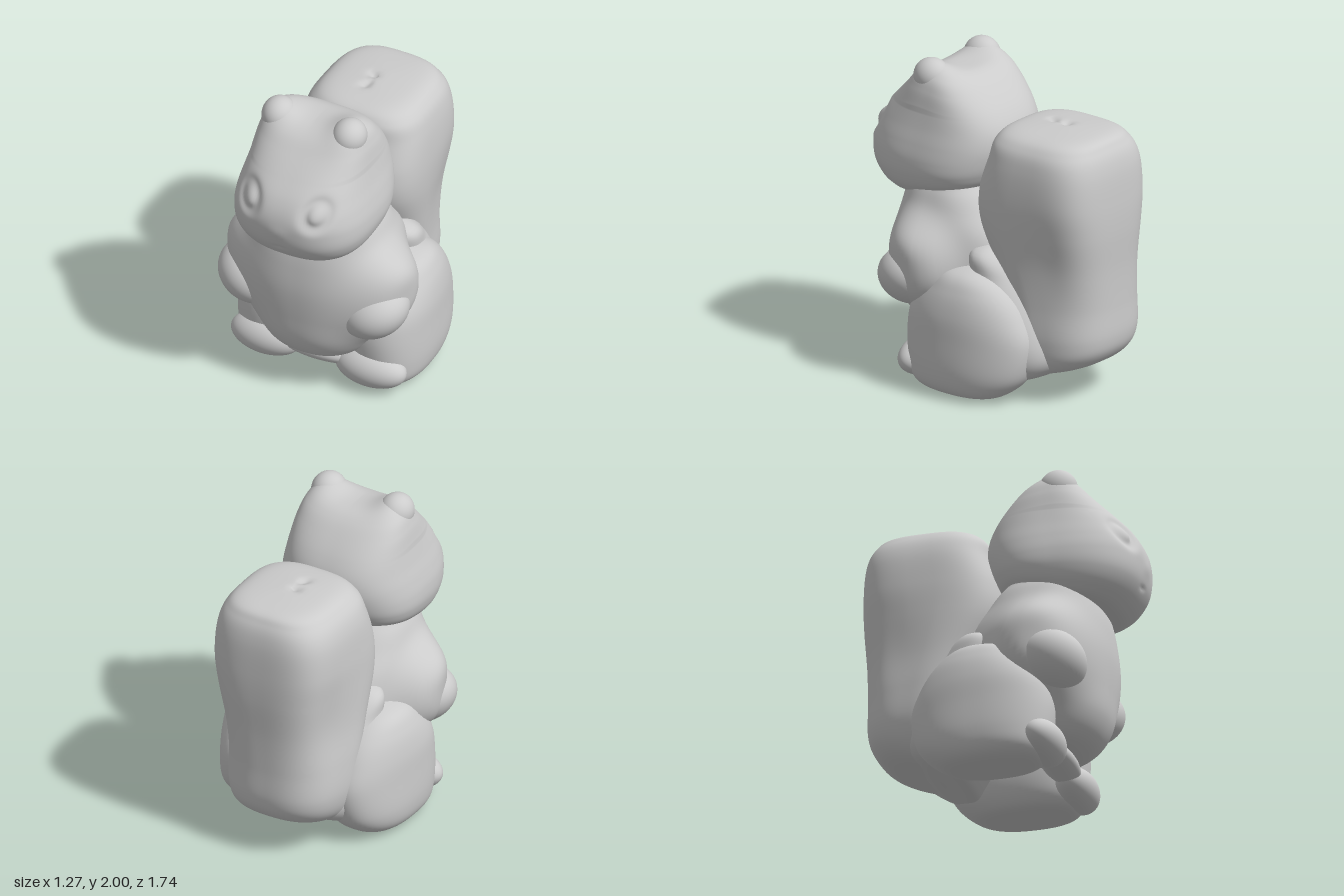
import * as THREE from 'three';

const material = new THREE.MeshStandardMaterial({ color: 0xcccccc, roughness: 0.8 });

// Smooth interpolation of section rows at t in 0..1
function sample(rows, t) {
  const f = t * (rows.length - 1);
  const i = Math.min(Math.floor(f), rows.length - 2);
  const u = f - i;
  const at = (k) => rows[Math.max(0, Math.min(rows.length - 1, k))];
  const [p, q, r, s] = [at(i - 1), at(i), at(i + 1), at(i + 2)];
  return q.map((b, c) => {
    const m0 = (r[c] - p[c]) / 2, m1 = (s[c] - b) / 2, d = r[c] - b;
    return b + u * (m0 + u * (3 * d - 2 * m0 - m1 + u * (m0 + m1 - 2 * d)));
  });
}

// Stack of rounded-square rings, bottom to top.
// Row: [y, zBack, zFront, halfWidth, squareness, frontTaper, tilt, centreX]
function loft(name, rows, { side = 1, rings = 60, segs = 72, rule } = {}) {
  const pos = [], index = [], v = new THREE.Vector3();
  const pow = (c, n) => Math.sign(c) * Math.pow(Math.abs(c), 2 / n);
  for (let i = 0; i <= rings; i++) {
    const [y, zb, zf, hw, n, taper, tilt, cx] = sample(rows, i / rings);
    for (let j = 0; j < segs; j++) {
      const a = (j / segs) * Math.PI * 2;
      const u = pow(Math.cos(a), n), w = pow(Math.sin(a), n);
      const dz = (w * Math.max(0, zf - zb)) / 2;
      v.set(side * cx + u * Math.max(0, hw) * (1 + taper * w), y + tilt * dz, (zb + zf) / 2 + dz);
      if (rule) rule(v);
      pos.push(v.x, v.y, v.z);
      if (i < rings) {
        const k = i * segs + j, next = i * segs + ((j + 1) % segs);
        index.push(k, k + segs, next, next, k + segs, next + segs);
      }
    }
  }
  const g = new THREE.BufferGeometry();
  g.setAttribute('position', new THREE.Float32BufferAttribute(pos, 3));
  g.setIndex(index);
  g.computeVertexNormals();
  const mesh = new THREE.Mesh(g, material);
  mesh.name = name;
  return mesh;
}

// Stretched and turned ball, mirrored by side
function blob(name, side, [x, y, z], radii, [rx, ry, rz] = [0, 0, 0]) {
  const mesh = new THREE.Mesh(new THREE.SphereGeometry(1, 48, 32), material);
  mesh.name = name;
  mesh.position.set(side * x, y, z);
  mesh.rotation.set(rx, side * ry, side * rz);
  mesh.scale.set(...radii);
  return mesh;
}

const bump = (d, w) => Math.exp(-(d * d) / (w * w));

// Ear roots on the crown; eye rings, nose and mouth on the face
function headShape(v) {
  const ax = Math.abs(v.x);
  if (v.y > 1.7) v.y += 0.065 * bump(Math.hypot((ax - 0.24) / 0.12, (v.z - 0.37) / 0.15), 1);
  if (v.z < 0.5) return;
  const eye = Math.hypot((ax - 0.225) / 0.07, (v.y - 1.54) / 0.08);
  v.z -= 0.024 * bump(eye - 0.9, 0.45);
  v.z += 0.008 * bump(Math.hypot(v.x / 0.06, (v.y - 1.39) / 0.05), 1);
  v.z -= 0.01 * bump(Math.hypot(v.x / 0.03, (v.y - 1.27) / 0.014), 1);
}

// Upper arms swell smoothly out of the torso sides
function armSwell(v) {
  const d = Math.hypot((v.z - 0.34) / 0.31, (v.y - 0.75) / 0.29);
  v.x *= 1 + 0.42 * Math.exp(-Math.pow(d, 4));
}

// Shallow hollows in the flanks and two pits on top of the tail
function tailShape(v) {
  v.x *= 1 - 0.06 * bump(Math.hypot((v.z + 0.62) / 0.16, (v.y - 0.9) / 0.3), 1);
  if (v.y > 1.6) {
    for (const z of [-0.35, -0.45]) v.y -= 0.025 * bump(Math.hypot(v.x + 0.03, v.z - z), 0.03);
  }
}

export function createModel() {
  const model = new THREE.Group();
  model.name = 'squirrel';

  model.add(loft('head', [
    [1.16, 0.33, 0.35, 0, 2.4, 0, -0.2, 0],
    [1.165, 0.05, 0.62, 0.3, 2.5, 0, -0.2, 0],
    [1.21, -0.01, 0.75, 0.395, 2.6, -0.02, -0.14, 0],
    [1.30, -0.05, 0.84, 0.437, 2.65, -0.03, -0.06, 0],
    [1.40, -0.08, 0.865, 0.442, 2.65, -0.03, 0, 0],
    [1.50, -0.1, 0.855, 0.425, 2.65, -0.03, 0, 0],
    [1.60, -0.09, 0.805, 0.4, 2.65, -0.03, 0, 0],
    [1.70, -0.04, 0.715, 0.378, 2.7, -0.03, 0, 0],
    [1.80, 0.04, 0.61, 0.357, 2.7, -0.02, 0, 0],
    [1.875, 0.12, 0.52, 0.318, 2.7, 0, 0, 0],
    [1.912, 0.2, 0.43, 0.22, 2.7, 0, 0, 0],
    [1.918, 0.31, 0.33, 0, 2.6, 0, 0, 0],
  ], { rings: 130, segs: 160, rule: headShape }));

  model.add(loft('torsoAndUpperArms', [
    [0.225, 0.24, 0.26, 0, 2.3, 0, 0, 0],
    [0.23, 0.03, 0.43, 0.22, 2.3, 0, 0, 0],
    [0.29, -0.1, 0.55, 0.315, 2.3, 0, 0, 0],
    [0.42, -0.22, 0.625, 0.39, 2.4, 0, 0, 0],
    [0.60, -0.34, 0.65, 0.425, 2.5, 0, 0, 0],
    [0.80, -0.3, 0.66, 0.435, 2.5, 0, 0, 0],
    [0.97, -0.22, 0.645, 0.44, 2.5, 0, 0, 0],
    [1.10, -0.12, 0.62, 0.42, 2.5, 0, 0, 0],
    [1.22, -0.03, 0.58, 0.38, 2.5, 0, 0, 0],
    [1.32, 0.08, 0.5, 0.3, 2.4, 0, 0, 0],
    [1.36, 0.2, 0.3, 0, 2.3, 0, 0, 0],
  ], { rings: 90, segs: 110, rule: armSwell }));

  model.add(loft('tail', [
    [0.165, -0.53, -0.51, 0, 2.6, 0, -0.3, -0.02],
    [0.17, -0.72, -0.32, 0.22, 2.6, 0.08, -0.3, -0.02],
    [0.25, -0.81, -0.28, 0.33, 2.7, 0.12, -0.22, -0.03],
    [0.40, -0.845, -0.25, 0.375, 2.8, 0.14, -0.06, -0.04],
    [0.62, -0.845, -0.2, 0.385, 2.8, 0.14, 0, -0.04],
    [0.85, -0.85, -0.1, 0.395, 3, 0.1, 0, -0.025],
    [1.10, -0.865, 0.0, 0.412, 3.3, 0.05, 0, -0.01],
    [1.30, -0.865, 0.0, 0.415, 3.5, 0.02, 0, -0.005],
    [1.50, -0.85, -0.06, 0.397, 3.4, 0.02, 0, -0.005],
    [1.62, -0.81, -0.09, 0.35, 3.2, 0.02, 0, 0],
    [1.685, -0.73, -0.18, 0.25, 3, 0, 0, 0],
    [1.705, -0.46, -0.44, 0, 2.8, 0, 0, 0],
  ], { rings: 100, segs: 110, rule: tailShape }));

  // Rump joining haunches and tail behind the hollow underside
  model.add(loft('rump', [
    [0.115, -0.39, -0.37, 0, 2.6, 0, -0.3, 0],
    [0.12, -0.5, -0.26, 0.3, 2.6, 0.05, -0.3, 0],
    [0.2, -0.62, -0.18, 0.41, 2.5, 0.12, -0.2, 0],
    [0.35, -0.64, -0.05, 0.47, 2.4, 0.14, 0, 0],
    [0.55, -0.56, 0.05, 0.5, 2.3, 0.14, 0, 0],
    [0.75, -0.44, 0.05, 0.45, 2.3, 0.08, 0, 0],
    [0.92, -0.25, 0.03, 0.4, 2.3, 0, 0, 0],
    [1.0, -0.12, -0.1, 0, 2.3, 0, 0, 0],
  ]));
  model.add(blob('footBridge', 1, [0, 0.18, 0.31], [0.3, 0.072, 0.11]));

  for (const side of [1, -1]) {
    const s = side > 0 ? 'left' : 'right';
    model.add(loft(s + 'Haunch', [
      [0.0, 0, 0.02, 0, 2.4, 0, 0, 0.38],
      [0.005, -0.22, 0.25, 0.14, 2.4, 0, 0, 0.38],
      [0.06, -0.35, 0.34, 0.215, 2.4, 0.04, 0, 0.385],
      [0.18, -0.46, 0.375, 0.25, 2.3, 0.08, 0, 0.38],
      [0.38, -0.5, 0.39, 0.258, 2.2, 0.12, 0, 0.372],
      [0.54, -0.45, 0.355, 0.255, 2.2, 0.1, 0, 0.368],
      [0.68, -0.36, 0.25, 0.225, 2.2, 0.06, 0, 0.363],
      [0.78, -0.23, 0.14, 0.16, 2.3, 0, 0, 0.36],
      [0.83, -0.05, -0.03, 0, 2.3, 0, 0, 0.36],
    ], { side }));
    model.add(blob(s + 'Foot', side, [0.355, 0.15, 0.32], [0.235, 0.125, 0.13]));
    model.add(blob(s + 'Forearm', side, [0.41, 0.655, 0.385], [0.225, 0.18, 0.215], [0, 0.25, 0.42]));
    model.add(blob(s + 'Ear', side, [0.238, 1.885, 0.378], [0.107, 0.115, 0.118], [-0.1, 0, -0.15]));
  }
  return model;
}
